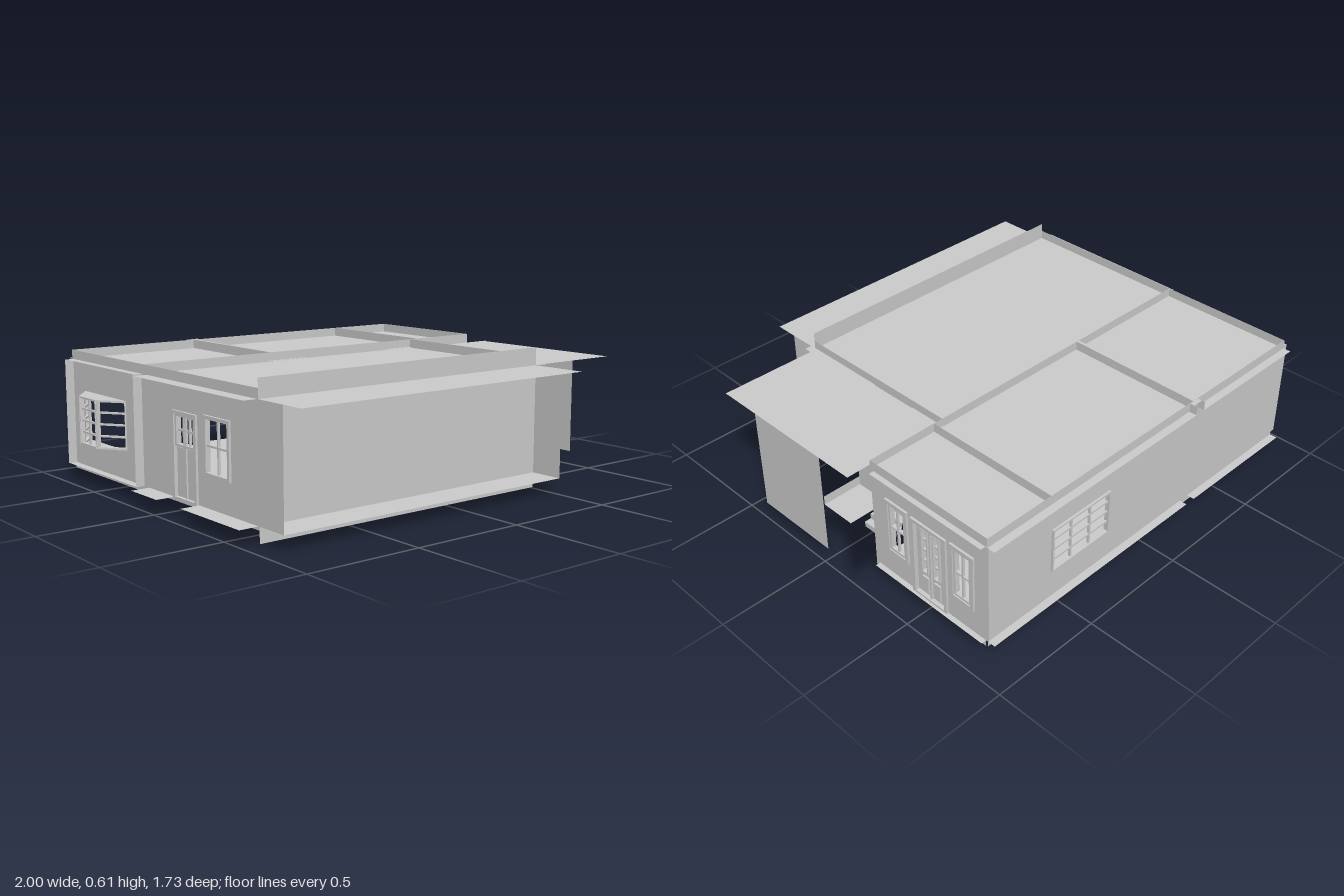
import * as THREE from 'three';

const solid = new THREE.MeshStandardMaterial({ color: 0xcccccc, flatShading: true });
const thin = new THREE.MeshStandardMaterial({ color: 0xcccccc, flatShading: true, side: THREE.DoubleSide });
const LO = 0.065, HI = 0.53, TOP = 0.57;

function add(parent, name, geo, mat = solid) {
  const m = new THREE.Mesh(geo, mat);
  m.name = name;
  parent.add(m);
  return m;
}

// box given by its minimum and maximum corners
function box(parent, name, x0, x1, y0, y1, z0, z1) {
  const m = add(parent, name, new THREE.BoxGeometry(x1 - x0, y1 - y0, z1 - z0));
  m.position.set((x0 + x1) / 2, (y0 + y1) / 2, (z0 + z1) / 2);
}

// thin four-cornered panel
function card(parent, name, ...corners) {
  const g = new THREE.BufferGeometry();
  g.setAttribute('position', new THREE.Float32BufferAttribute(corners.flat(), 3));
  g.setIndex([0, 1, 2, 0, 2, 3]);
  g.computeVertexNormals();
  add(parent, name, g, thin);
}

// horizontal and upright thin panels
const sheet = (p, name, x0, x1, z0, z1, y) =>
  card(p, name, [x0, y, z0], [x0, y, z1], [x1, y, z1], [x1, y, z0]);
const upright = (p, name, x0, z0, x1, z1, y0, y1) =>
  card(p, name, [x0, y0, z0], [x1, y0, z1], [x1, y1, z1], [x0, y1, z0]);

// outer wall with openings [u0, u1, y0, y1]; local z points outward
function wall(parent, name, angle, dist, u0, u1, y0, y1, holes = [], mat = solid) {
  const g = new THREE.Group();
  g.name = name;
  g.rotation.y = angle;
  const s = new THREE.Shape([[u0, y0], [u1, y0], [u1, y1], [u0, y1]].map(p => new THREE.Vector2(...p)));
  for (const [a, b, c, d] of holes)
    s.holes.push(new THREE.Path([[a, c], [a, d], [b, d], [b, c]].map(p => new THREE.Vector2(...p))));
  add(g, name + 'Panel', new THREE.ShapeGeometry(s), mat).position.z = dist;
  parent.add(g);
  return g;
}

// frame and glazing bars filling one opening
function windowFrame(g, name, d, [u0, u1, y0, y1], cols, rows, t = 0.014) {
  const z0 = d - 0.012, z1 = d + 0.01;
  for (const u of [u0, u1]) box(g, name + 'Side', u - t / 2, u + t / 2, y0 - t / 2, y1 + t / 2, z0, z1);
  for (const y of [y0, y1]) box(g, name + 'Rail', u0, u1, y - t / 2, y + t / 2, z0, z1);
  for (let i = 1; i < cols; i++) {
    const u = u0 + (u1 - u0) * i / cols;
    box(g, name + 'Bar', u - 0.004, u + 0.004, y0, y1, d - 0.008, d + 0.002);
  }
  for (let i = 1; i < rows; i++) {
    const y = y0 + (y1 - y0) * i / rows;
    box(g, name + 'Bar', u0, u1, y - 0.004, y + 0.004, d - 0.008, d + 0.002);
  }
}

export function createModel() {
  const house = new THREE.Group();
  house.name = 'house';

  // floors and ceilings
  for (const [n, y] of [['Floor', LO], ['Ceiling', HI]]) {
    sheet(house, 'mainRoom' + n, -0.915, 0.535, -0.2, 0.605, y);
    sheet(house, 'backRoom' + n, -0.915, 0.89, -0.83, -0.2, y);
    // ledges running out past the walls
    sheet(house, 'back' + n + 'Ledge', -0.915, -0.305, -0.865, -0.83, y);
    sheet(house, 'back' + n + 'Ledge', -0.255, 0.89, -0.865, -0.83, y);
    sheet(house, 'east' + n + 'Ledge', 0.89, 0.913, -0.82, -0.22, y);
    sheet(house, 'west' + n + 'Ledge', -0.95, -0.915, -0.82, -0.22, y);
  }
  sheet(house, 'porchRoof', 0.535, 0.985, -0.18, 0.6, HI);

  // front wall, taller than the rest, with ledges and side wings
  wall(house, 'frontWall', 0, 0.605, -0.915, 0.515, 0, 0.607, [], thin);
  sheet(house, 'frontEave', -0.915, 0.515, 0.605, 0.86, HI);
  sheet(house, 'frontLedge', -0.915, 0.515, 0.605, 0.755, LO);
  for (const x of [-0.915, 0.515]) upright(house, 'frontWing', x, 0.605, x, 0.755, LO, HI);

  // west wall of the main room: door and window
  const westDoor = [0.03, 0.19, LO, 0.41], westWin = [0.26, 0.42, 0.2, 0.42];
  const west = wall(house, 'westWall', -Math.PI / 2, 0.915, -0.2, 0.605, 0.05, TOP, [[0.03, 0.19, 0.07, 0.41], westWin]);
  windowFrame(west, 'westWindow', 0.915, westWin, 2, 2);
  windowFrame(west, 'westDoor', 0.915, westDoor, 2, 1);
  box(west, 'westDoorLeaf', 0.03, 0.19, LO, 0.27, 0.9, 0.91);
  windowFrame(west, 'westDoorGlazing', 0.91, [0.045, 0.175, 0.28, 0.4], 3, 2, 0.01);
  for (const [a, b] of [[-0.18, 0.02], [0.2, 0.6]])
    sheet(house, 'westStep', -1, -0.915, a, b, LO);
  sheet(house, 'westEave', -0.975, -0.915, -0.18, 0.6, HI);

  // west wall of the back room with its bay window
  wall(house, 'backRoomWestWall', -Math.PI / 2, 0.915, -0.83, -0.2, 0.04, TOP, [[-0.71, -0.36, 0.19, 0.4]]);
  for (const z of [-0.82, -0.22]) upright(house, 'westWing', -0.955, z, -0.915, z, LO, HI);
  const bay = new THREE.Group();
  bay.name = 'bayWindow';
  house.add(bay);
  const plan = [[-0.915, -0.71], [-0.995, -0.61], [-0.995, -0.47], [-0.915, -0.36]];
  for (const y of [0.19, 0.4]) card(bay, 'bayCap', ...plan.map(([x, z]) => [x, y, z]));
  for (let i = 0; i < 3; i++) {
    const [x0, z0] = plan[i], [x1, z1] = plan[i + 1];
    const len = Math.hypot(x1 - x0, z1 - z0);
    const side = new THREE.Group();
    side.name = 'baySide';
    side.position.set((x0 + x1) / 2, 0, (z0 + z1) / 2);
    side.rotation.y = Math.atan2(x1 - x0, z1 - z0) - Math.PI / 2;
    windowFrame(side, 'bay', -0.006, [-len / 2, len / 2, 0.195, 0.395], i === 1 ? 2 : 1, 4, 0.008);
    bay.add(side);
  }

  // back wall and window
  const backWin = [-0.55, -0.23, 0.2, 0.4];
  const back = wall(house, 'backWall', Math.PI, 0.83, -0.89, 0.915, 0.04, TOP, [backWin]);
  windowFrame(back, 'backWindow', 0.83, backWin, 3, 4, 0.008);
  for (const x of [-0.305, -0.255]) upright(house, 'backWing', x, -0.865, x, -0.83, HI, TOP);
  sheet(house, 'backWingCap', -0.305, -0.255, -0.85, -0.83, TOP);

  // east wall: double door between two windows
  const door = [0.435, 0.61, LO, 0.425];
  const wins = [[0.29, 0.398, 0.185, 0.43], [0.647, 0.755, 0.185, 0.43]];
  const panes = [[0.475, 0.507], [0.54, 0.572]];
  const east = wall(house, 'eastWall', Math.PI / 2, 0.89, 0.2, 0.82, 0.035, TOP, [door, ...wins]);
  for (const w of wins) {
    windowFrame(east, 'eastWindow', 0.89, w, 2, 2, 0.016);
    windowFrame(east, 'eastSash', 0.885, [w[0] + 0.013, w[1] - 0.013, w[2] + 0.013, w[3] - 0.013], 1, 2, 0.01);
  }
  windowFrame(east, 'doorFrame', 0.89, door, 2, 1, 0.016);
  const leaves = wall(house, 'doorLeaves', Math.PI / 2, 0.882, 0.435, 0.61, LO + 0.005, 0.425,
    panes.map(([a, b]) => [a, b, 0.19, 0.4]), thin);
  for (const [a, b] of panes) {
    windowFrame(leaves, 'doorPane', 0.882, [a, b, 0.19, 0.4], 1, 4, 0.006);
    box(leaves, 'doorPanel', a, b, 0.085, 0.165, 0.88, 0.89);
  }
  upright(house, 'eastWing', 0.89, -0.82, 0.89, -0.835, LO, HI);
  wall(house, 'backRoomFrontWall', 0, -0.2, 0.515, 0.89, 0.04, TOP);

  // low upstands around and between the ceilings
  const upstands = [
    [-0.915, -0.2, -0.915, 0.605], [0.515, -0.2, 0.515, 0.605], [-0.915, -0.2, 0.89, -0.2],
    [0.56, -0.83, 0.56, -0.2], [-0.915, -0.83, -0.915, -0.2], [0.888, -0.83, 0.888, -0.2],
    [-0.915, -0.828, 0.89, -0.828],
  ];
  for (const u of upstands) upright(house, 'ceilingUpstand', ...u, HI, TOP);
  box(house, 'backRoomDivider', -0.29, -0.277, HI, TOP, -0.83, -0.2);

  // door heads lying on the ceilings
  const heads = [
    [0.515, 0.55, 0.21, 0.63], [0.515, 0.56, -0.23, 0.02 - 0.04], [-0.915, -0.79, -0.2, -0.18],
    [-0.3, -0.1, -0.2, -0.18], [0.36, 0.56, -0.2, -0.18],
  ];
  for (const h of heads) sheet(house, 'doorHead', ...h, HI + 0.004);

  // east wall of the main room, open beside the stairs
  wall(house, 'mainEastWall', Math.PI / 2, 0.515, -0.605, -0.21, 0.05, TOP);
  wall(house, 'stairSideWall', Math.PI / 2, 0.515, -0.02, 0.2, 0.05, TOP);

  // porch: end screen, rear wall, stairs and landing
  upright(house, 'porchScreen', 0.985, 0.4, 0.985, -0.01, LO, HI);
  wall(house, 'porchRearWall', 0, -0.18, 0.515, 1, LO, HI);
  upright(house, 'stairHeadWall', 0.8, -0.17, 0.8, -0.01, 0.235, HI);
  const n = 7, run = 0.22 / n, rise = 0.17 / n;
  for (let i = 0; i < n; i++) {
    const x = 0.79 - i * run, y = LO + i * rise;
    upright(house, 'stairRiser', x, -0.17, x, -0.01, y, y + rise);
    sheet(house, 'stairTread', x - run, x, -0.17, -0.01, y + rise);
  }
  sheet(house, 'stairLanding', 0.785, 0.98, -0.17, -0.01, 0.295);
  upright(house, 'landingEdge', 0.785, -0.01, 0.98, -0.01, 0.295, 0.335);

  return house;
}
